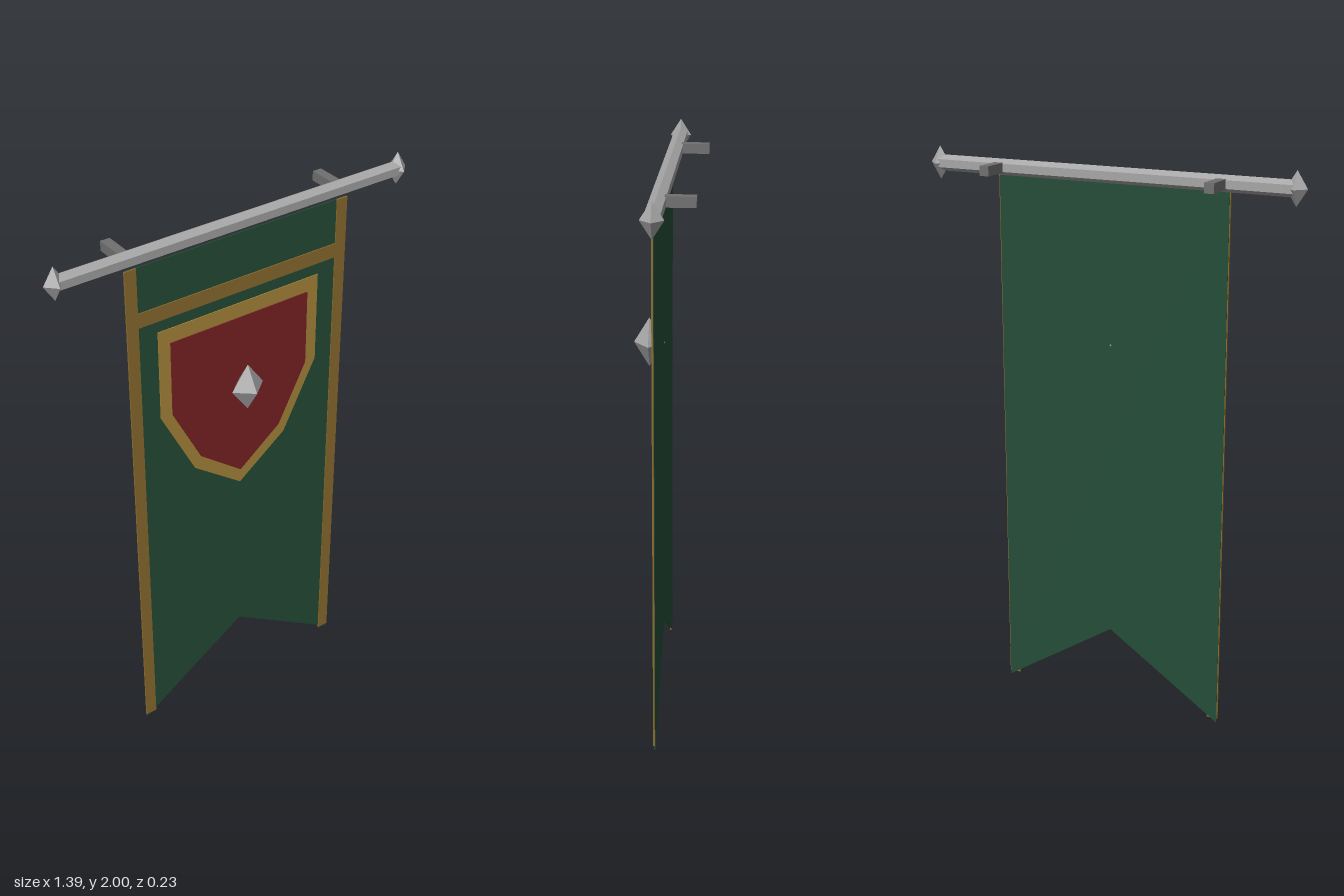
import * as THREE from 'three';

const material = (name, color) => {
  const m = new THREE.MeshStandardMaterial({ color });
  m.name = name;
  m.flatShading = true;
  return m;
};

export function createModel() {
  const green = material('green cloth', 0x244d37);
  const red = material('red cloth', 0x7c2123);
  const darkGold = material('dark gold trim', 0x8c6d2d);
  const gold = material('gold border', 0xab873a);
  const steel = material('steel', 0xa6a6a7);
  const iron = material('dark iron', 0x707070);

  const banner = new THREE.Group();
  banner.name = 'banner';
  const poleY = 1.942, poleZ = -0.004;

  const add = (name, geometry, mat, x = 0, y = 0, z = 0) => {
    const mesh = new THREE.Mesh(geometry, mat);
    mesh.name = name;
    mesh.position.set(x, y, z);
    banner.add(mesh);
    return mesh;
  };

  // Flat plate, mirrored from its right half (points run top to bottom)
  const plate = (half, z0, z1) => {
    const left = half.filter(([x]) => x > 0).reverse().map(([x, y]) => [-x, y]);
    const shape = new THREE.Shape([...half, ...left].map(([x, y]) => new THREE.Vector2(x, y)));
    return new THREE.ExtrudeGeometry(shape, { depth: z1 - z0, bevelEnabled: false }).translate(0, 0, z0);
  };

  // Eight-sided pointed gem
  const gem = (rx, ry, rz) => new THREE.OctahedronGeometry(1).scale(rx, ry, rz);

  // Swallow-tailed cloth
  add('cloth', plate([[0.427, 1.913], [0.427, 0], [0, 0.28]], 0.01, 0.014), green);

  // Shield emblem: gold border behind a red field
  add('shieldBorder', plate([[0.318, 1.66], [0.318, 1.33], [0.188, 1.072], [0, 0.93]], 0.014, 0.017), gold);
  add('shieldField', plate([[0.274, 1.607], [0.274, 1.33], [0.164, 1.113], [0, 0.985]], 0.017, 0.02), red);
  add('shieldGem', gem(0.063, 0.088, 0.053), steel, 0, 1.356, 0.06);

  // Band across the cloth
  add('crossBand', new THREE.BoxGeometry(0.776, 0.052, 0.004), darkGold, 0, 1.727, 0.0155);

  // Six-sided pole with an edge on top
  const pole = new THREE.CylinderGeometry(0.028, 0.028, 1.314, 6).rotateY(Math.PI / 2).rotateZ(Math.PI / 2);
  add('pole', pole, steel, 0, poleY, poleZ);

  // Side trims, finials and wall brackets
  for (const [side, s] of [['left', 1], ['right', -1]]) {
    add(side + 'Trim', new THREE.BoxGeometry(0.042, 1.898, 0.006), darkGold, s * 0.409, 0.964, 0.0145);
    add(side + 'Finial', gem(0.037, 0.058, 0.037), steel, s * 0.657, poleY, poleZ);
    add(side + 'Bracket', new THREE.BoxGeometry(0.034, 0.034, 0.115), iron, s * 0.41, poleY, -0.0635);
  }

  return banner;
}
